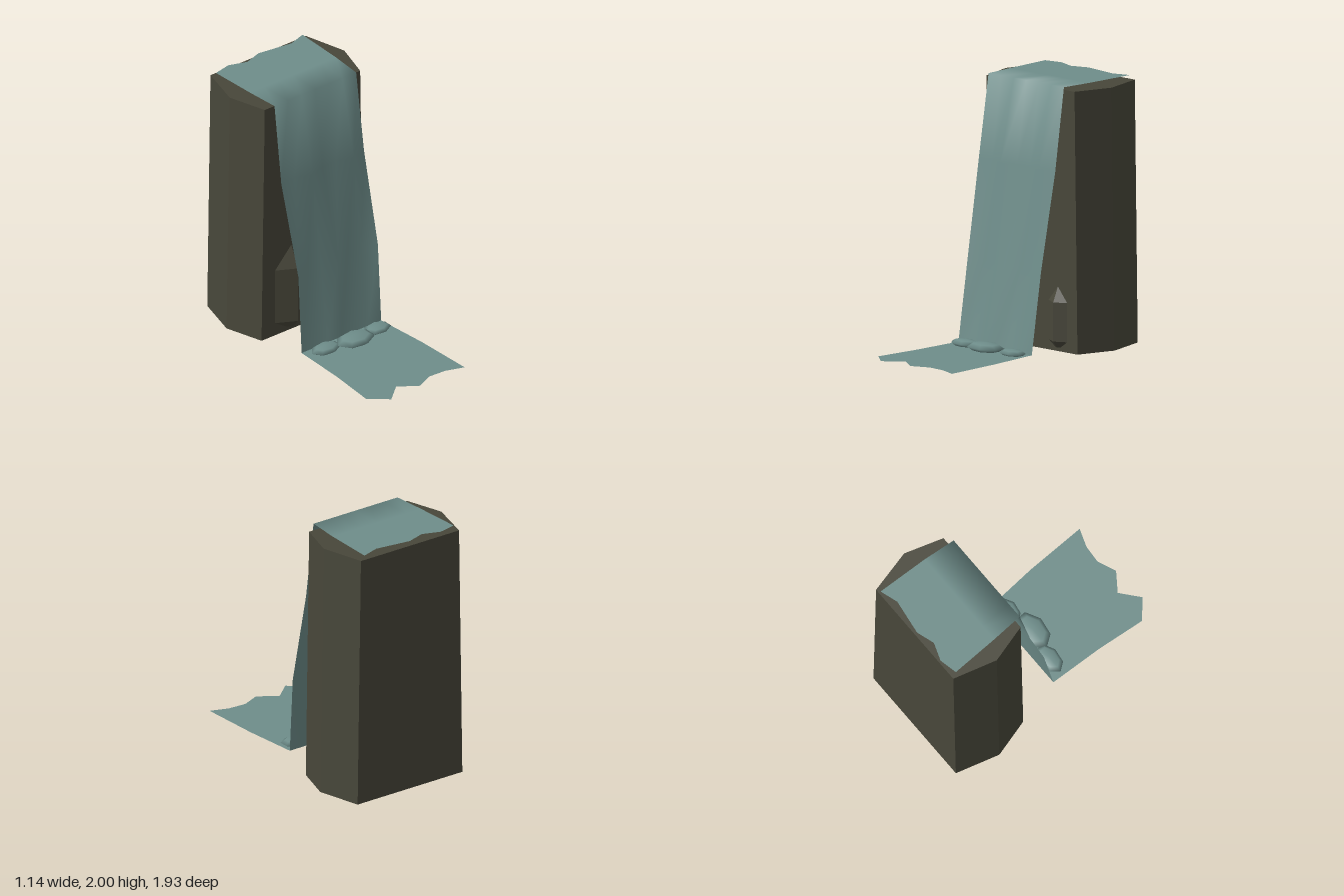
import * as THREE from 'three';

const rockMat = new THREE.MeshStandardMaterial({ color: 0x48473a, side: THREE.DoubleSide });
rockMat.name = 'dark rock';
const waterMat = new THREE.MeshStandardMaterial({ color: 0x6e8d8a, side: THREE.DoubleSide });
waterMat.name = 'pale water';

// Skin a surface over rows of [x, y, z] points; closed joins each row into a ring
function loft(rows, closed, flat) {
  const n = rows[0].length, index = [];
  for (let r = 0; r < rows.length - 1; r++) {
    for (let c = 0; c < (closed ? n : n - 1); c++) {
      const a = r * n + c, b = r * n + (c + 1) % n;
      index.push(a, b, b + n, a, b + n, a + n);
    }
  }
  let geo = new THREE.BufferGeometry();
  geo.setAttribute('position', new THREE.Float32BufferAttribute(rows.flat(2), 3));
  geo.setIndex(index);
  if (flat) geo = geo.toNonIndexed();
  geo.computeVertexNormals();
  return geo;
}

function add(parent, name, geo, mat) {
  const mesh = new THREE.Mesh(geo, mat);
  mesh.name = name;
  parent.add(mesh);
  return mesh;
}

// Faceted stone with a rounded foot and pointed top
function stoneGeometry(x, z, radius, height) {
  const profile = [[0, 0], [0, 0.7], [0.08, 1], [0.57, 1], [0.84, 0.4], [1, 0]];
  const rows = profile.map(([t, r]) => Array.from({ length: 6 }, (_, i) => {
    const a = i * Math.PI / 3;
    return [x + Math.sin(a) * r * radius * 1.1, 0.03 + t * height, z + Math.cos(a) * r * radius];
  }));
  return loft(rows, true, true);
}

// Seven points across the water between two edges
function waterRow(left, right, y, zAt) {
  return Array.from({ length: 7 }, (_, i) => [left + (right - left) * i / 6, y, zAt(i)]);
}

export function createModel() {
  const model = new THREE.Group();
  model.name = 'waterfall';

  // Cliff: tapered six-sided column, capped on top and open below
  const ring = (y, corner, side) => [
    [-corner, y, -0.33], [corner, y, -0.33], [side, y, -0.63],
    [corner, y, -0.97], [-corner, y, -0.97], [-side, y, -0.63],
  ];
  const centre = Array.from({ length: 6 }, () => [0, 1.97, -0.65]);
  add(model, 'cliff', loft([ring(0, 0.48, 0.57), ring(1.97, 0.45, 0.54), centre], true, true), rockMat);

  // Stones set into the cliff foot
  add(model, 'largeStone', stoneGeometry(-0.2, -0.45, 0.2, 0.92), rockMat);
  add(model, 'smallStone', stoneGeometry(0.28, -0.4, 0.12, 0.6), rockMat);

  // Falling sheet, bending over the lip to a ragged back edge
  const backZ = [-0.93, -0.96, -0.91, -0.955, -0.935, -0.915, -0.96];
  const ripple = (z, phase) => (i) => z + 0.03 * Math.cos(i * 2.1 + phase);
  const fall = [
    waterRow(-0.39, 0.36, 0.03, () => 0.03),
    waterRow(-0.365, 0.385, 0.64, ripple(-0.07, 0)),
    waterRow(-0.4, 0.38, 1.38, ripple(-0.185, 2)),
    waterRow(-0.39, 0.38, 2, () => -0.29),
    waterRow(-0.41, 0.4, 2, () => -0.55),
    waterRow(-0.43, 0.41, 2, (i) => backZ[i]),
  ];
  add(model, 'waterSheet', loft(fall, false, false), waterMat);

  // Flat outflow with a ragged front edge
  const frontZ = [0.84, 0.96, 0.84, 0.94, 0.88, 0.89, 0.94];
  const outflow = [
    waterRow(-0.43, 0.42, 0.03, (i) => frontZ[i]),
    waterRow(-0.4, 0.4, 0.03, () => 0.46),
    waterRow(-0.39, 0.36, 0.03, () => 0.03),
  ];
  add(model, 'outflow', loft(outflow, false, false), waterMat);

  // Foam lumps where the water lands
  const lumps = [
    [-0.235, 0.055, 0.12, 0.13, 0.03, 0.08],
    [0.01, 0.063, 0.16, 0.165, 0.037, 0.11],
    [0.25, 0.047, 0.12, 0.115, 0.027, 0.08],
  ];
  for (const [x, y, z, sx, sy, sz] of lumps) {
    const foam = add(model, 'foam', new THREE.SphereGeometry(1, 7, 4), waterMat);
    foam.position.set(x, y, z);
    foam.scale.set(sx, sy, sz);
  }
  return model;
}
